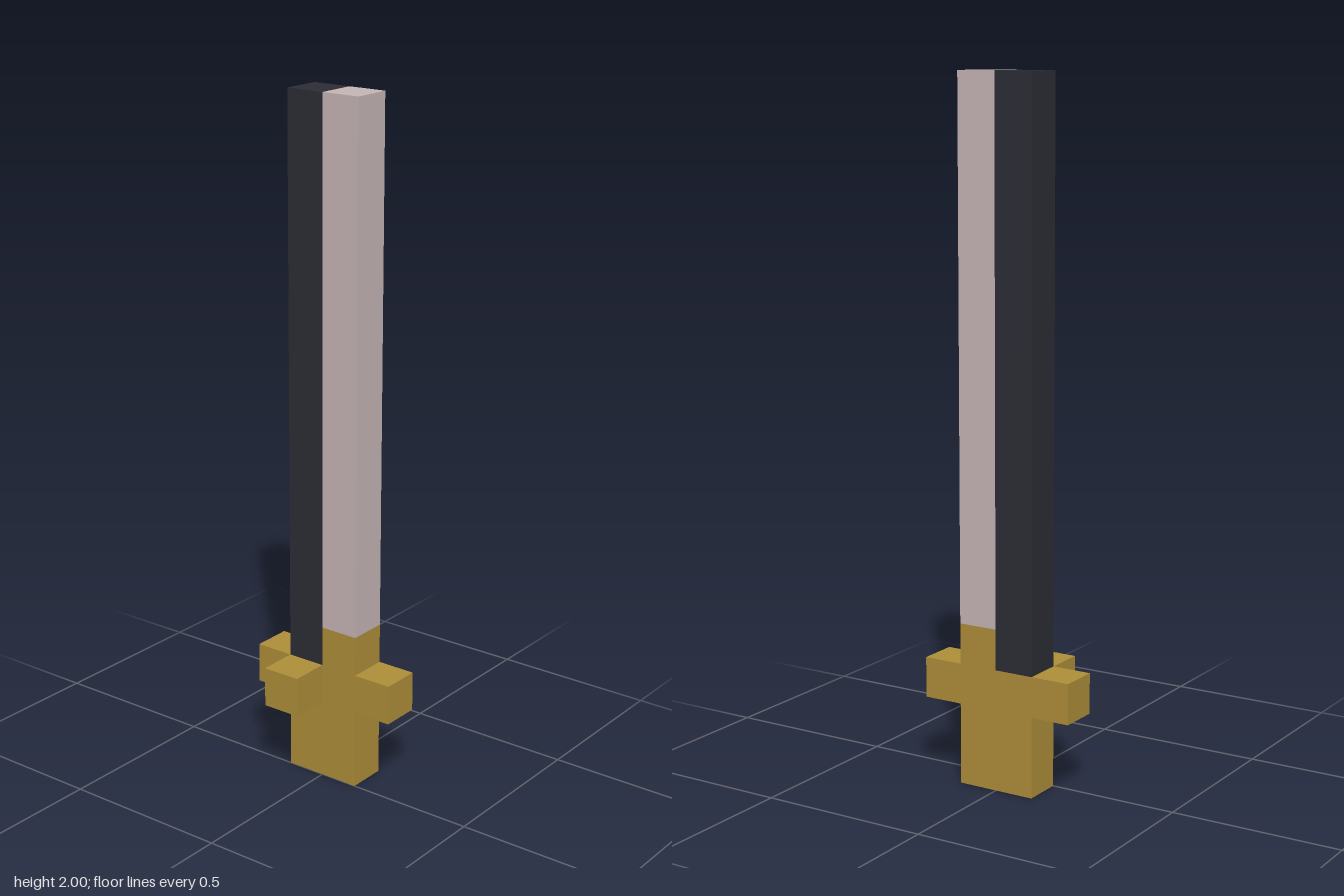
import * as THREE from 'three';

// one grid cell; the sword is 17 cells tall
const U = 2 / 17;

export function createModel() {
  const group = new THREE.Group();
  const mat = (name, color) => {
    const m = new THREE.MeshStandardMaterial({ color });
    m.name = name;
    return m;
  };
  const gold = mat('gold', 0xb08f3a);
  const dark = mat('darkSteel', 0x2d2d36);
  const pale = mat('paleSteel', 0xc8b7b7);

  // box spanning grid cells from min to max corner
  const block = (name, material, min, max) => {
    const size = max.map((v, i) => (v - min[i]) * U);
    const mesh = new THREE.Mesh(new THREE.BoxGeometry(...size), material);
    mesh.position.set(...max.map((v, i) => ((v + min[i]) / 2) * U));
    mesh.name = name;
    group.add(mesh);
  };

  // hilt
  block('grip', gold, [-1, 0, -1], [1, 3, 0]);
  block('bladeCollar', gold, [0, 3, -1], [1, 4, 0]);

  // guard arms at both sides and the front
  block('guardLeft', gold, [1, 2, -1], [2, 3, 0]);
  block('guardRight', gold, [-2, 2, -1], [-1, 3, 0]);
  block('guardFront', gold, [-1, 2, 0], [0, 3, 1]);

  // two-tone blade
  block('bladeDarkHalf', dark, [-1, 3, -1], [0, 17, 0]);
  block('bladePaleHalf', pale, [0, 4, -1], [1, 17, 0]);

  return group;
}
